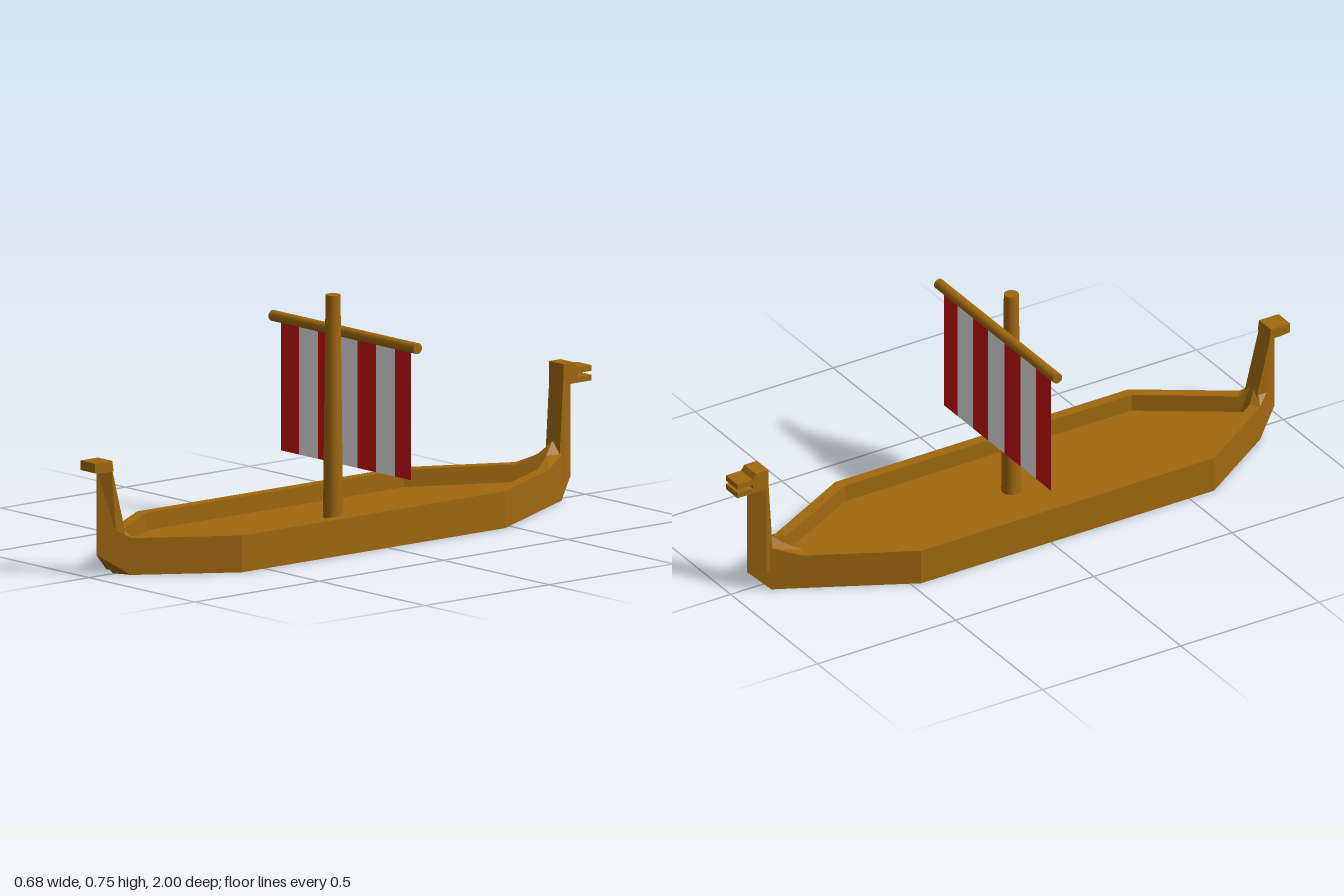
import * as THREE from 'three';

const wood = new THREE.MeshStandardMaterial({ color: 0xa0680f, side: THREE.DoubleSide });
wood.name = 'wood';
const red = new THREE.MeshStandardMaterial({ color: 0xcc1010, side: THREE.DoubleSide });
red.name = 'sailRed';
const white = new THREE.MeshStandardMaterial({ color: 0xe4e4e4, side: THREE.DoubleSide });
white.name = 'sailWhite';

// Joins rings of points into a faceted surface; wrap also joins last to first
function loft(rings, wrap) {
  const pos = [];
  const n = rings[0].length;
  const count = wrap ? rings.length : rings.length - 1;
  for (let i = 0; i < count; i++) {
    const p = rings[i], q = rings[(i + 1) % rings.length];
    for (let j = 0; j < n; j++) {
      const k = (j + 1) % n;
      pos.push(...p[j], ...q[j], ...q[k], ...p[j], ...q[k], ...p[k]);
    }
  }
  const g = new THREE.BufferGeometry();
  g.setAttribute('position', new THREE.Float32BufferAttribute(pos, 3));
  g.computeVertexNormals();
  return g;
}

export function createModel() {
  const model = new THREE.Group();
  model.name = 'longship';
  const boat = new THREE.Group();
  boat.name = 'boat';
  boat.position.x = -0.006;
  model.add(boat);
  const add = (parent, name, geometry, material, x = 0, y = 0, z = 0) => {
    const m = new THREE.Mesh(geometry, material);
    m.name = name;
    m.position.set(x, y, z);
    parent.add(m);
    return m;
  };

  // Hull wall stations, bow to stern: outer x, outer z, inner x, inner z, bottom y, top y
  const half = [
    [0, 0.965, 0, 0.9, 0.065, 0.175],
    [0.059, 0.875, 0.03, 0.855, 0, 0.115],
    [0.2475, 0.59, 0.2125, 0.58, 0, 0.115],
    [0.2475, -0.47, 0.2125, -0.455, 0, 0.115],
    [0.08, -0.79, 0.05, -0.771, 0, 0.115],
    [0.035, -0.878, 0.02, -0.83, 0, 0.145],
    [0, -0.945, 0, -0.869, 0.065, 0.18],
  ];
  const mirrored = half.slice(1, -1).reverse().map(([ox, oz, ix, iz, b, t]) => [-ox, oz, -ix, iz, b, t]);
  const stations = [...half, ...mirrored];
  add(boat, 'hullWall', loft(stations.map(([ox, oz, ix, iz, b, t]) =>
    [[ox, b, oz], [ox, t, oz], [ix, t, iz], [ix, 0, iz]]), true), wood);

  // Deck, open underneath
  const deck = new THREE.ShapeGeometry(new THREE.Shape(
    stations.map(([, , ix, iz]) => new THREE.Vector2(ix, iz))));
  deck.rotateX(Math.PI / 2);
  add(boat, 'deck', deck, wood, 0, 0.06, 0);

  // End posts: keel-edged columns; levels are [y, distance of the inner face]
  const post = (s, tip, levels) => loft(levels.map(([y, back]) => {
    const w = 0.033 * s;
    const side = Math.max(tip - 0.05, back + 0.002);
    return [[w, y, back * s], [w, y, side * s], [0, y, tip * s], [-w, y, side * s], [-w, y, back * s]];
  }), false);
  add(boat, 'bowPost', post(1, 0.965, [[0.065, 0.86], [0.14, 0.88], [0.335, 0.93]]), wood);
  add(boat, 'sternPost', post(-1, 0.945, [[0.065, 0.84], [0.15, 0.873], [0.4, 0.889]]), wood);

  // Carved heads: side profiles extruded across the boat
  const head = (s, profile) => {
    const w = 0.068;
    const g = new THREE.ExtrudeGeometry(
      new THREE.Shape(profile.map(([z, y]) => new THREE.Vector2(z, y))), { depth: w, bevelEnabled: false });
    g.translate(0, 0, -w / 2);
    g.rotateY(-s * Math.PI / 2);
    return g;
  };
  add(boat, 'bowHead', head(1,
    [[0.925, 0.326], [0.965, 0.326], [1, 0.33], [1, 0.36], [0.93, 0.36]]), wood);
  add(boat, 'sternHead', head(-1, [
    [0.888, 0.36], [1, 0.36], [1, 0.378], [0.945, 0.378], [0.945, 0.39],
    [1, 0.39], [1, 0.408], [0.945, 0.408], [0.933, 0.425], [0.888, 0.425]]), wood);

  // Mast and yard
  add(boat, 'mast', new THREE.CylinderGeometry(0.023, 0.031, 0.695, 24), wood, 0, 0.4075, 0.012);
  const yard = add(model, 'yard', new THREE.CylinderGeometry(0.017, 0.017, 0.684, 20), wood, 0, 0.633, -0.032);
  yard.rotation.z = Math.PI / 2;

  // Striped sail
  const sail = new THREE.Group();
  sail.name = 'sail';
  model.add(sail);
  const edges = [-0.303, -0.217, -0.128, -0.038, 0.057, 0.145, 0.234, 0.31];
  for (let i = 0; i < 7; i++) {
    const w = edges[i + 1] - edges[i];
    add(sail, 'sailStripe' + (i + 1), new THREE.PlaneGeometry(w, 0.408),
      i % 2 ? white : red, edges[i] + w / 2, 0.421, -0.032);
  }
  return model;
}
